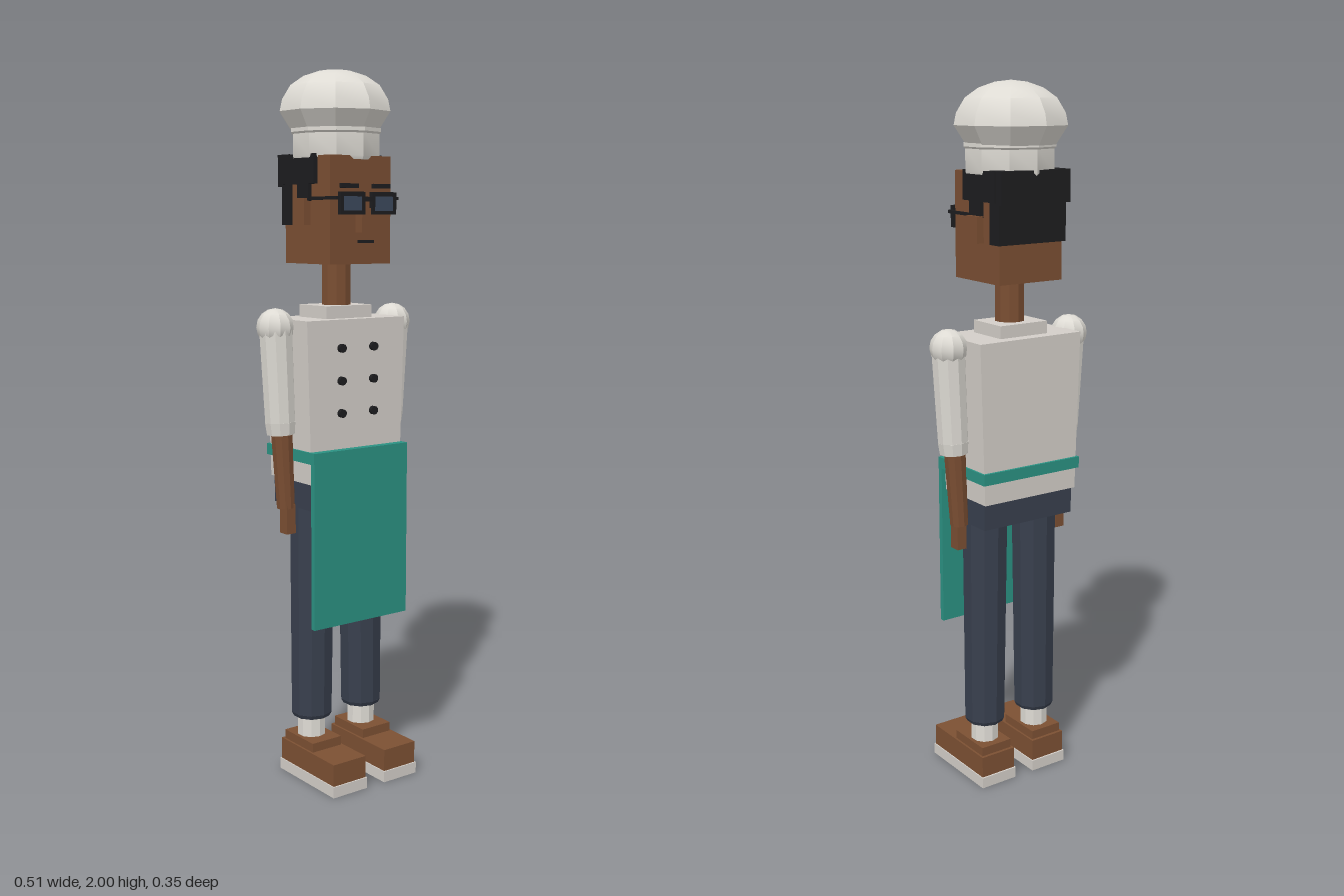
import * as THREE from 'three';
import { toCreasedNormals } from 'three/addons/utils/BufferGeometryUtils.js';

const mat = (name, color) => {
  const m = new THREE.MeshStandardMaterial({ color });
  m.name = name;
  return m;
};

export function createModel() {
  const skin = mat('skin', 0x7a4e32);
  const leather = mat('shoe leather', 0x7c5033);
  const cloth = mat('jacket cloth', 0xd3cec8);
  const white = mat('white cotton', 0xdedbd4);
  const teal = mat('apron teal', 0x2b9182);
  const navy = mat('trouser navy', 0x383f4d);
  const black = mat('black', 0x1d1d1f);
  const glass = mat('lens glass', 0x3c485c);

  const model = new THREE.Group();
  model.name = 'chef';

  const add = (name, geometry, material) => {
    const mesh = new THREE.Mesh(geometry, material);
    mesh.name = name;
    model.add(mesh);
    return mesh;
  };
  // Box given by its extents on each axis
  const box = (name, material, [x0, x1], [y0, y1], [z0, z1]) => {
    const mesh = add(name, new THREE.BoxGeometry(Math.abs(x1 - x0), y1 - y0, z1 - z0), material);
    mesh.position.set((x0 + x1) / 2, (y0 + y1) / 2, (z0 + z1) / 2);
    return mesh;
  };
  // Tapered limb between two points, with sharp facets
  const limb = (name, material, top, bottom, rTop, rBottom, sides = 10) => {
    const a = new THREE.Vector3(...top), b = new THREE.Vector3(...bottom);
    const g = new THREE.CylinderGeometry(rTop, rBottom, a.distanceTo(b), sides);
    const mesh = add(name, toCreasedNormals(g, 0.5), material);
    mesh.position.copy(a).add(b).multiplyScalar(0.5);
    mesh.quaternion.setFromUnitVectors(new THREE.Vector3(0, 1, 0), a.sub(b).normalize());
    return mesh;
  };
  const lathe = (name, material, profile, z) => {
    const points = profile.map(p => new THREE.Vector2(...p));
    const g = toCreasedNormals(new THREE.LatheGeometry(points, 10), 0.5);
    add(name, g, material).position.z = z;
  };

  // Jacket body, narrowing to the waist
  const body = new THREE.BoxGeometry(0.336, 0.45, 0.198);
  const pos = body.attributes.position;
  for (let i = 0; i < pos.count; i++) {
    if (pos.getY(i) < 0) pos.setX(i, pos.getX(i) * 0.92);
  }
  body.computeVertexNormals();
  add('jacket', body, cloth).position.set(0, 1.1, -0.018);
  box('collar', cloth, [-0.078, 0.078], [1.325, 1.36], [-0.082, 0.046]);
  box('trouserWaist', navy, [-0.15, 0.15], [0.8, 0.875], [-0.107, 0.071]);

  // Apron panel and belt
  box('apronPanel', teal, [-0.163, 0.163], [0.47, 0.967], [0.09, 0.105]);
  box('apronBelt', teal, [-0.163, 0.163], [0.935, 0.967], [-0.125, 0.09]);

  // Neck, head and face
  limb('neck', skin, [0, 1.48, -0.014], [0, 1.35, -0.014], 0.042, 0.042);
  box('head', skin, [-0.103, 0.103], [1.475, 1.765], [-0.112, 0.097]);
  box('nose', skin, [-0.017, 0.017], [1.56, 1.625], [0.095, 0.126]);
  box('mouth', black, [-0.026, 0.026], [1.532, 1.54], [0.116, 0.122]);
  box('hairBackTop', black, [-0.112, 0.112], [1.685, 1.772], [-0.136, -0.08]);
  box('hairBack', black, [-0.11, 0.11], [1.58, 1.7], [-0.12, -0.078]);
  box('glassesBridge', black, [-0.016, 0.016], [1.643, 1.655], [0.122, 0.134]);

  // Hat: band with a small rim, and a faceted puff
  lathe('hatBand', white, [[0, 1.755], [0.12, 1.755], [0.124, 1.765], [0.124, 1.825], [0.129, 1.83], [0.129, 1.84], [0, 1.84]], -0.015);
  lathe('hatPuff', white, [[0, 1.832], [0.125, 1.835], [0.158, 1.885], [0.151, 1.917], [0.127, 1.955], [0.09, 1.98], [0.045, 1.995], [0, 2]], -0.02);

  for (const s of [-1, 1]) {
    const side = s > 0 ? 'left' : 'right';
    const sx = (a, b) => [s * a, s * b];

    // Head details
    box(side + 'Ear', skin, sx(0.1, 0.125), [1.58, 1.652], [-0.04, 0.008]);
    box(side + 'HairSide', black, sx(0.095, 0.116), [1.69, 1.77], [-0.11, 0.04]);
    box(side + 'Sideburn', black, sx(0.095, 0.115), [1.645, 1.7], [-0.04, 0.012]);
    box(side + 'Eyebrow', black, sx(0.025, 0.083), [1.678, 1.69], [0.112, 0.122]);

    // Glasses: lens, four rims and temple
    box(side + 'Lens', glass, sx(0.02, 0.085), [1.618, 1.66], [0.124, 0.13]);
    box(side + 'RimTop', black, sx(0.012, 0.094), [1.656, 1.668], [0.12, 0.134]);
    box(side + 'RimBottom', black, sx(0.012, 0.094), [1.608, 1.618], [0.12, 0.134]);
    box(side + 'RimInner', black, sx(0.012, 0.021), [1.618, 1.656], [0.12, 0.134]);
    box(side + 'RimOuter', black, sx(0.085, 0.094), [1.618, 1.656], [0.12, 0.134]);
    box(side + 'Temple', black, sx(0.094, 0.106), [1.647, 1.656], [-0.04, 0.128]);

    // Buttons
    for (const y of [1.067, 1.157, 1.247]) {
      const button = add(side + 'Button', new THREE.CylinderGeometry(0.012, 0.012, 0.014, 10), black);
      button.rotation.x = Math.PI / 2;
      button.position.set(s * 0.055, y, 0.086);
    }

    // Arm: shoulder, sleeve, cuff, forearm, hand
    const shoulder = new THREE.SphereGeometry(0.052, 10, 8);
    add(side + 'Shoulder', toCreasedNormals(shoulder, 0.5), white).position.set(s * 0.204, 1.305, -0.018);
    limb(side + 'Sleeve', white, [s * 0.204, 1.305, -0.016], [s * 0.191, 1.04, -0.016], 0.047, 0.043);
    limb(side + 'Cuff', white, [s * 0.191, 1.045, -0.016], [s * 0.189, 1.01, -0.016], 0.044, 0.04);
    limb(side + 'Forearm', skin, [s * 0.187, 1.02, -0.016], [s * 0.174, 0.8, -0.016], 0.031, 0.026);
    box(side + 'Hand', skin, sx(0.157, 0.187), [0.728, 0.81], [-0.027, 0.007]);

    // Leg: trouser leg with hem, sock
    limb(side + 'TrouserLeg', navy, [s * 0.085, 0.82, -0.014], [s * 0.089, 0.19, -0.014], 0.066, 0.06);
    limb(side + 'Hem', navy, [s * 0.089, 0.19, -0.014], [s * 0.089, 0.178, -0.014], 0.06, 0.054);
    limb(side + 'Sock', white, [s * 0.09, 0.2, -0.014], [s * 0.09, 0.11, -0.014], 0.041, 0.041);

    // Shoe
    box(side + 'Sole', cloth, sx(0.031, 0.149), [0, 0.032], [-0.09, 0.174]);
    box(side + 'ShoeUpper', leather, sx(0.034, 0.146), [0.032, 0.095], [-0.085, 0.17]);
    box(side + 'ShoeCollar', leather, sx(0.04, 0.14), [0.095, 0.121], [-0.076, 0.062]);
  }
  return model;
}
